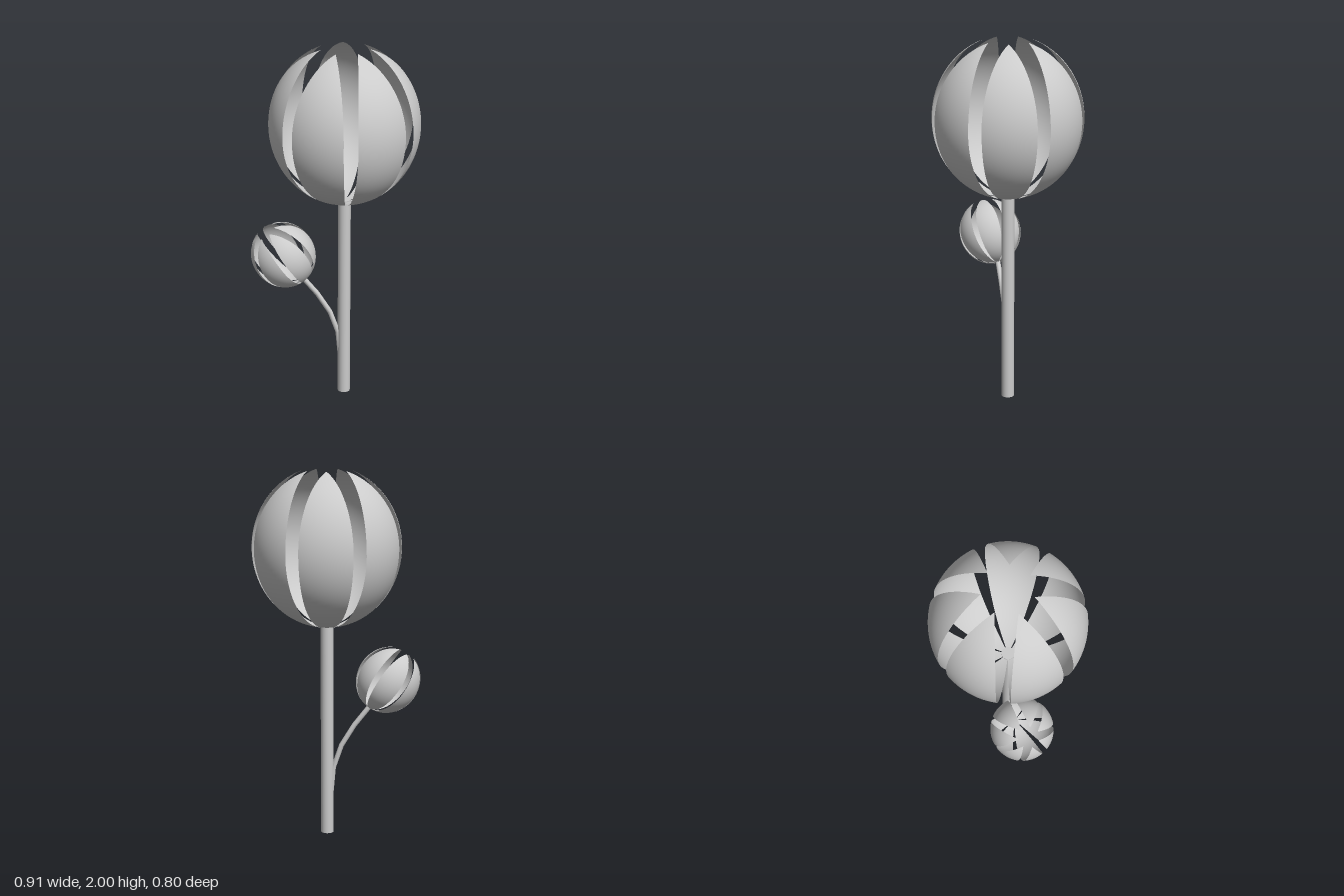
import * as THREE from 'three';

const PETALS = 7;
const RADIUS = 0.4;    // bloom half width
const HEIGHT = 0.43;   // bloom half height
const TIP = 0.13;      // distance of petal tips from the bloom axis
const BASE = 0.02;     // distance of petal bases from the bloom axis

const material = new THREE.MeshStandardMaterial({ color: 0xcccccc });
const petalMaterial = new THREE.MeshStandardMaterial({ color: 0xcccccc, side: THREE.DoubleSide });

// Half angle of a petal at a latitude: nearly constant below, cut by two vertical planes above
function halfAngle(lat) {
  if (lat < 0) return THREE.MathUtils.degToRad(20.4 + 2.6 * (1 - Math.cos(lat)));
  const slope = 0.571;
  const r = RADIUS * Math.cos(lat);
  return Math.max(0, Math.atan(slope) - Math.asin(Math.min(1, TIP * slope / (r * Math.hypot(1, slope)))));
}

// A petal is a sheet wrapped onto an ellipsoid, facing +z
function petalGeometry() {
  const geo = new THREE.PlaneGeometry(1, 1, 14, 48);
  const { position, normal, uv } = geo.attributes;
  const low = -Math.acos(BASE / RADIUS);
  const high = Math.acos(TIP / RADIUS);
  const n = new THREE.Vector3();
  for (let i = 0; i < position.count; i++) {
    const lat = THREE.MathUtils.lerp(low, high, uv.getY(i));
    const angle = (uv.getX(i) * 2 - 1) * halfAngle(lat);
    const r = RADIUS * Math.cos(lat);
    const x = r * Math.sin(angle), y = HEIGHT * Math.sin(lat), z = r * Math.cos(angle);
    position.setXYZ(i, x, y, z);
    n.set(x / RADIUS ** 2, y / HEIGHT ** 2, z / RADIUS ** 2).normalize();
    normal.setXYZ(i, n.x, n.y, n.z);
  }
  return geo;
}

// Ring of petals, one at the back and a gap at the front
function makeBloom(name, geo) {
  const bloom = new THREE.Group();
  bloom.name = name;
  for (let i = 0; i < PETALS; i++) {
    const petal = new THREE.Mesh(geo, petalMaterial);
    petal.name = 'petal';
    petal.rotation.y = Math.PI + (i * 2 * Math.PI) / PETALS;
    bloom.add(petal);
  }
  return bloom;
}

export function createModel() {
  const group = new THREE.Group();
  const geo = petalGeometry();

  // Main stem
  const stem = new THREE.Mesh(new THREE.CylinderGeometry(0.035, 0.035, 1.17, 20), material);
  stem.name = 'stem';
  stem.position.set(0.053, 0.585, 0);
  group.add(stem);

  // Large bloom on top
  const flower = makeBloom('flower', geo);
  flower.position.set(0.053, 1.592, 0);
  group.add(flower);

  // Side branch with a few visible bends
  const path = new THREE.CatmullRomCurve3([
    [0.03, 0.24], [0.008, 0.42], [-0.08, 0.59], [-0.18, 0.72],
  ].map(([x, y]) => new THREE.Vector3(x, y, 0)));
  const branch = new THREE.Mesh(new THREE.TubeGeometry(path, 4, 0.014, 10), material);
  branch.name = 'branch';
  group.add(branch);

  // Small bud leaning away on the branch
  const bud = makeBloom('bud', geo);
  const axis = new THREE.Vector3(-0.105, 0.155, 0.02).normalize();
  bud.quaternion.setFromUnitVectors(new THREE.Vector3(0, 1, 0), axis);
  bud.scale.setScalar(0.43);
  bud.position.set(-0.28, 0.863, 0.02);
  group.add(bud);

  return group;
}
